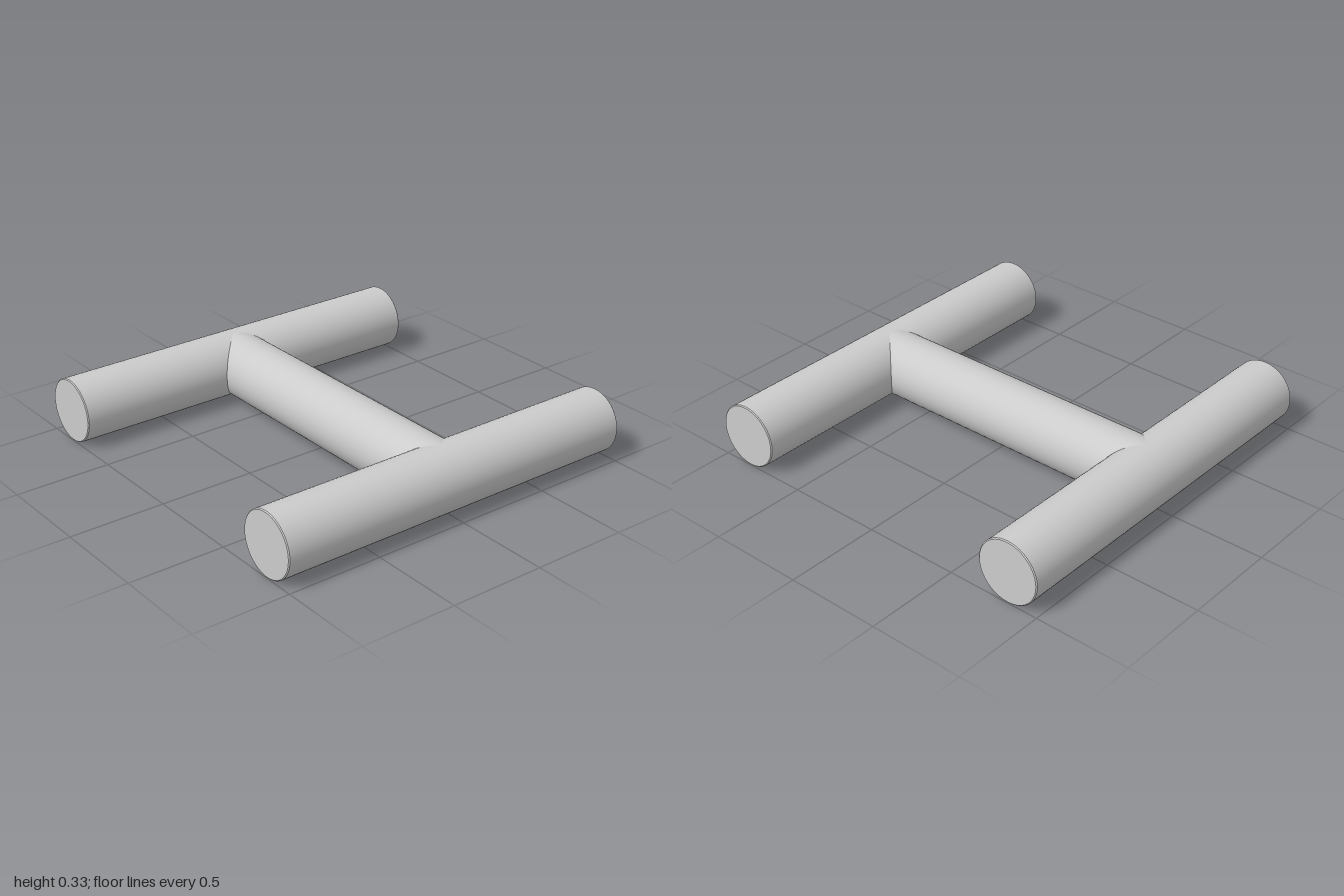
import * as THREE from 'three';
import { toCreasedNormals } from 'three/addons/utils/BufferGeometryUtils.js';

const R = 1 / 6; // tube radius
const OFFSET = 1 - R; // distance of each side bar from the centre
const SIDES = 48;

export function createModel() {
  const group = new THREE.Group();
  const material = new THREE.MeshStandardMaterial({ color: 0xcccccc });

  // Round bar with a tiny bevel around each flat end
  const b = 0.005;
  const profile = [[0, -1], [R - b, -1], [R, -1 + b], [R, 1 - b], [R - b, 1], [0, 1]]
    .map(([x, y]) => new THREE.Vector2(x, y));
  const barGeometry = toCreasedNormals(new THREE.LatheGeometry(profile, SIDES), 0.5);
  barGeometry.rotateZ(Math.PI / 2);

  // Two parallel side bars along x
  for (const [name, side] of [['frontBar', 1], ['backBar', -1]]) {
    const bar = new THREE.Mesh(barGeometry, material);
    bar.name = name;
    bar.position.set(0, R, side * OFFSET);
    group.add(bar);
  }

  // Connecting bar along z, its open ends buried in the side bars
  const crossGeometry = new THREE.CylinderGeometry(R, R, OFFSET * 2, SIDES, 1, true);
  crossGeometry.rotateX(Math.PI / 2);
  const crossBar = new THREE.Mesh(crossGeometry, material);
  crossBar.name = 'crossBar';
  crossBar.position.y = R;
  group.add(crossBar);

  return group;
}
